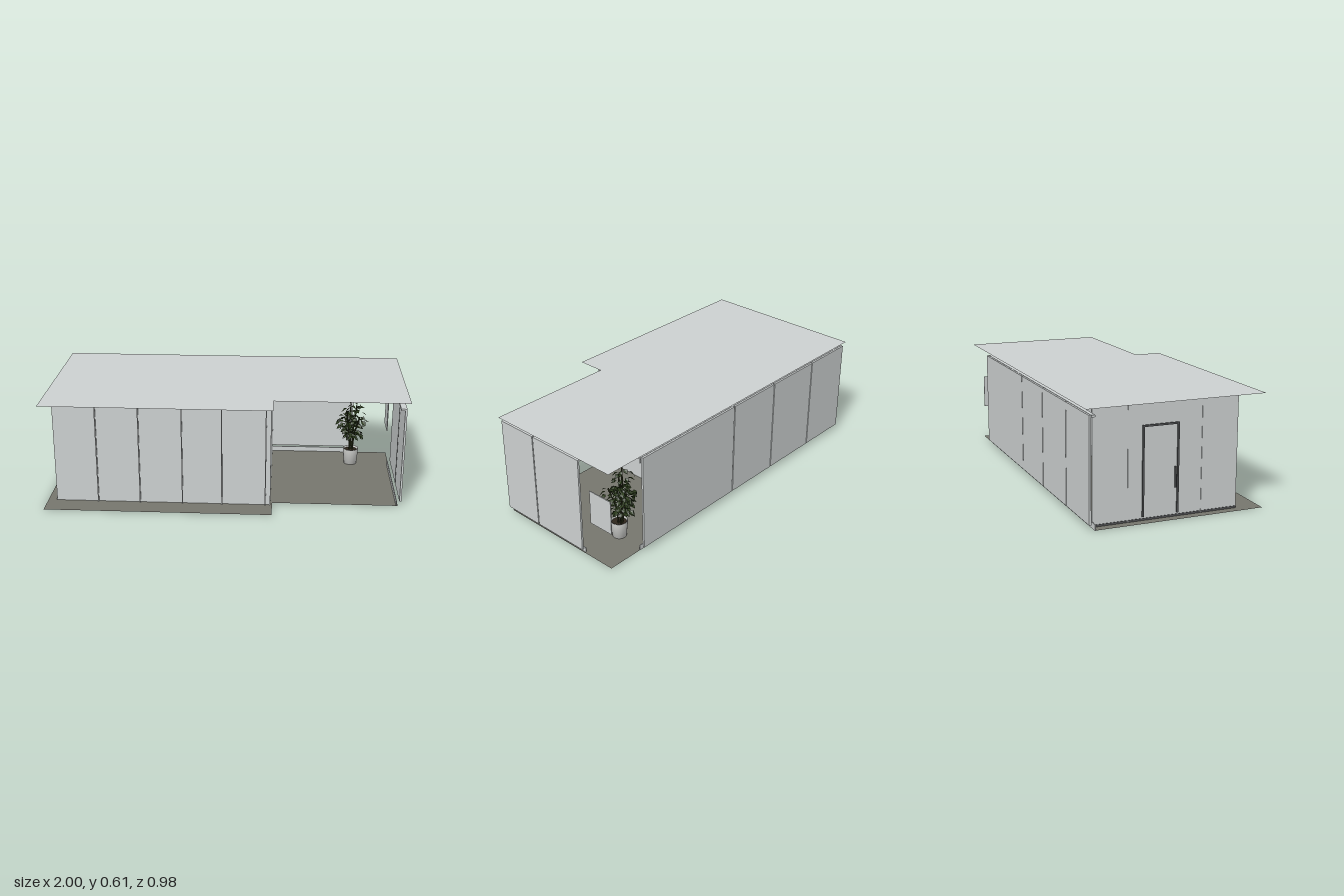
import * as THREE from 'three';
import { mergeGeometries } from 'three/addons/utils/BufferGeometryUtils.js';

export function createModel() {
  const model = new THREE.Group();
  model.name = 'pavilion';

  const mat = (name, color, side = THREE.FrontSide) => {
    const m = new THREE.MeshStandardMaterial({ color, side });
    m.name = name;
    return m;
  };
  const panel = mat('paleGrey', 0xced2d2, THREE.DoubleSide);
  const floorMat = mat('stoneFloor', 0x77776e, THREE.DoubleSide);
  const metal = mat('darkMetal', 0x505254);
  const ceramic = mat('potWhite', 0xd2d3d0, THREE.DoubleSide);
  const soilMat = mat('soil', 0x2e261c);
  const leafMat = mat('leafGreen', 0x2a3a1a, THREE.DoubleSide);
  const stemMat = mat('stemGreen', 0x30351c);

  const add = (name, geo, material, parent = model) => {
    const m = new THREE.Mesh(geo, material);
    m.name = name;
    parent.add(m);
    return m;
  };
  // Box given by its limits on each axis
  const box = (name, x0, x1, y0, y1, z0, z1, material = panel) => {
    const m = add(name, new THREE.BoxGeometry(x1 - x0, y1 - y0, z1 - z0), material);
    m.position.set((x0 + x1) / 2, (y0 + y1) / 2, (z0 + z1) / 2);
    return m;
  };

  // Roof and floor: thin sheets with a notched front corner
  const sheet = (name, x1, z0, y, material) => {
    const s = new THREE.Shape([
      [-1, z0], [x1, z0], [x1, 0.33], [0.26, 0.33], [0.26, 0.485], [-1, 0.485],
    ].map(([x, z]) => new THREE.Vector2(x, -z)));
    const m = add(name, new THREE.ShapeGeometry(s), material);
    m.rotation.x = -Math.PI / 2;
    m.position.y = y;
  };
  sheet('roof', 1, -0.49, 0.606, panel);
  sheet('floor', 0.96, -0.445, 0.001, floorMat);

  // Front wall with narrow fins at the panel joints
  box('frontWall', -0.95, 0.25, 0, 0.604, 0.347, 0.356);
  for (const x of [-0.714, -0.478, -0.24, -0.02, 0.222]) {
    box('frontFin', x - 0.003, x + 0.003, 0, 0.604, 0.354, 0.366);
  }

  // Inner wall beside the terrace
  box('terraceWall', 0.24, 0.25, 0, 0.604, -0.44, 0.356);

  // Outer back screen, hung clear of the floor
  const backEdges = [-1, -0.68, -0.32, 0.03, 0.75];
  for (let i = 0; i < 4; i++) {
    box('backPanel', backEdges[i] + 0.003, backEdges[i + 1] - 0.003, 0.03, 0.575, -0.474, -0.463);
    if (i) box('backJoint', backEdges[i] - 0.006, backEdges[i] + 0.006, 0.03, 0.575, -0.466, -0.462, metal);
  }
  box('backKickPlate', -1, 0.75, 0, 0.03, -0.445, -0.44);
  box('backTopRail', -1, 0.75, 0.565, 0.576, -0.462, -0.442);
  box('blind', 0.25, 0.385, 0.535, 0.575, -0.452, -0.449);
  box('blind', 0.396, 0.745, 0.535, 0.575, -0.452, -0.449);

  // Outer left screen in two panels
  for (const [z0, z1] of [[-0.25, 0.087], [0.093, 0.335]]) {
    box('endPanel', 0.967, 0.978, 0.03, 0.575, z0, z1);
  }
  box('endJoint', 0.966, 0.969, 0.03, 0.575, 0.083, 0.097, metal);
  box('endKickPlate', 0.95, 0.954, 0, 0.03, -0.25, 0.33);
  box('endTopRail', 0.945, 0.967, 0.565, 0.576, -0.25, 0.33);

  // Small sign board beside the open corner
  box('sideBoard', 0.943, 0.948, 0.205, 0.4, -0.442, -0.292);

  // Right wall with joints, framed door and pull handle
  box('rightWall', -0.95, -0.941, 0, 0.604, -0.44, 0.356);
  for (const z of [-0.25, 0.155]) {
    box('rightJoint', -0.953, -0.948, 0, 0.604, z - 0.003, z + 0.003);
  }
  for (const z of [-0.17, 0.02]) {
    box('doorJamb', -0.956, -0.948, 0.02, 0.49, z - 0.005, z + 0.005, metal);
  }
  box('doorHead', -0.956, -0.948, 0.48, 0.49, -0.17, 0.02, metal);
  box('rightBase', -0.953, -0.948, 0, 0.012, -0.44, 0.356, metal);
  box('doorHandle', -0.962, -0.956, 0.155, 0.265, 0.0, 0.008, metal);

  // Potted plant
  const plant = new THREE.Group();
  plant.name = 'pottedPlant';
  plant.position.set(0.728, 0, -0.272);
  model.add(plant);
  add('pot', new THREE.LatheGeometry([
    [0, 0.003], [0.038, 0.003], [0.047, 0.099], [0.043, 0.099], [0.041, 0.085],
  ].map(p => new THREE.Vector2(...p)), 24), ceramic, plant);
  add('soil', new THREE.CylinderGeometry(0.041, 0.041, 0.004, 20), soilMat, plant).position.y = 0.086;

  let seed = 7;
  const rnd = () => (seed = (seed * 16807) % 2147483647) / 2147483647;

  // Leaf: two folded halves, pointing along +z
  const leaf = new THREE.BufferGeometry();
  leaf.setAttribute('position', new THREE.Float32BufferAttribute([
    0, 0, 0, 0.35, 0.1, 0.45, 0, 0, 0.5,
    0.35, 0.1, 0.45, 0, -0.12, 1, 0, 0, 0.5,
    0, 0, 0, 0, 0, 0.5, -0.35, 0.1, 0.45,
    -0.35, 0.1, 0.45, 0, 0, 0.5, 0, -0.12, 1,
  ], 3));
  leaf.computeVertexNormals();

  // Stems curve up from the pot, with leaves along the upper part
  const leaves = [], stems = [], dummy = new THREE.Object3D();
  const tips = [[-0.01, 0.45, -0.02], [0.03, 0.36, -0.045], [-0.035, 0.35, 0.03], [0.045, 0.31, 0.03], [-0.03, 0.3, -0.035]];
  for (const [tx, ty, tz] of tips) {
    const curve = new THREE.CatmullRomCurve3([
      new THREE.Vector3(tx * 0.2, 0.085, tz * 0.2 - 0.01),
      new THREE.Vector3(tx * 0.4, 0.19, tz * 0.5 - 0.015),
      new THREE.Vector3(tx, ty, tz),
    ]);
    stems.push(new THREE.TubeGeometry(curve, 8, 0.0045, 5));
    for (let i = 0; i < 38; i++) {
      const p = curve.getPoint(0.42 + 0.58 * rnd());
      const a = rnd() * Math.PI * 2, r = 0.04 * rnd();
      dummy.position.set(p.x + Math.cos(a) * r, p.y + (rnd() - 0.4) * 0.03, p.z + Math.sin(a) * r);
      dummy.rotation.set(0.9 * rnd() - 0.1, Math.PI / 2 - a, (rnd() - 0.5) * 1.2, 'YXZ');
      dummy.scale.setScalar(0.028 + 0.018 * rnd());
      dummy.updateMatrix();
      leaves.push(leaf.clone().applyMatrix4(dummy.matrix));
    }
  }
  add('stems', mergeGeometries(stems), stemMat, plant);
  add('leaves', mergeGeometries(leaves), leafMat, plant);

  return model;
}
